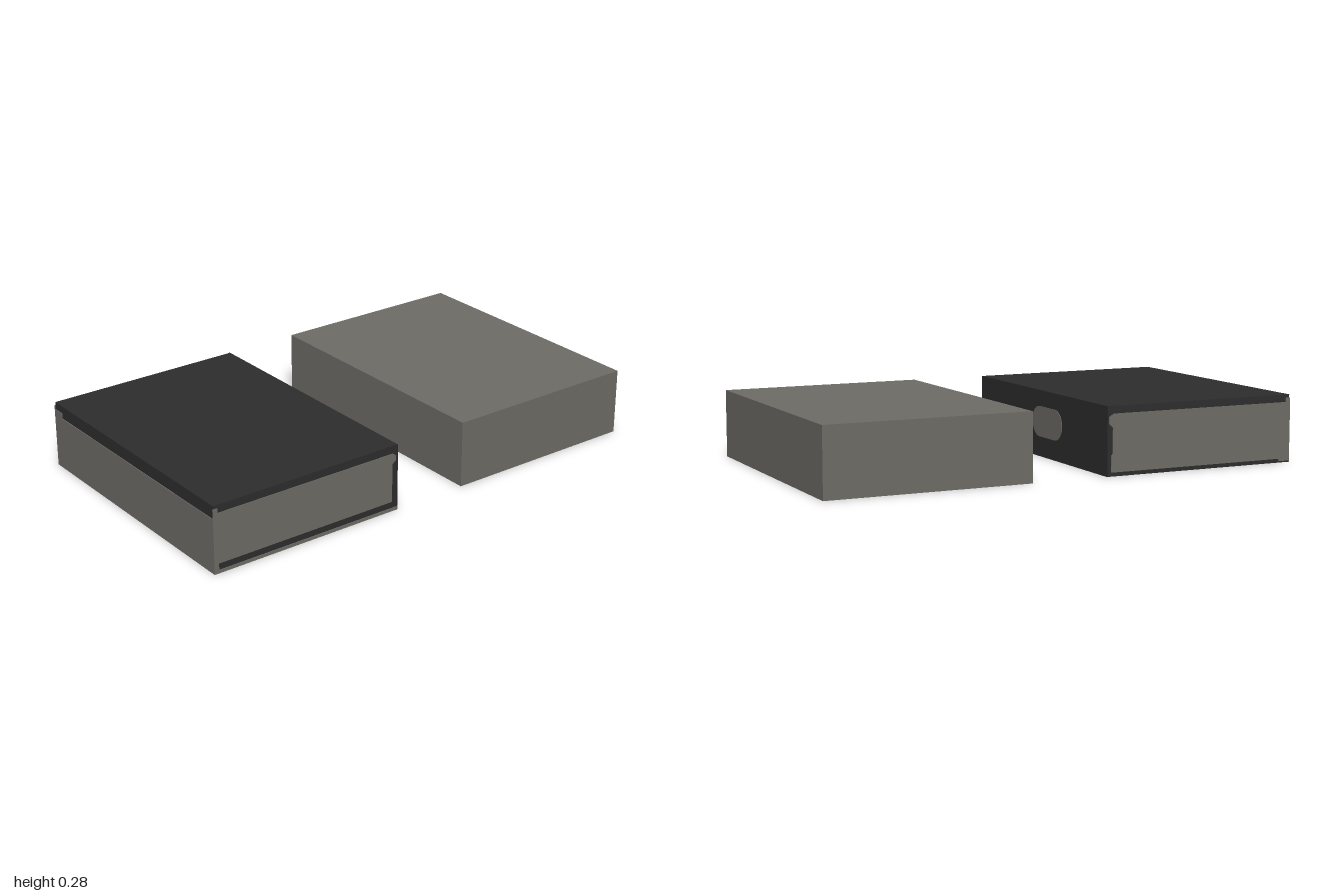
import * as THREE from 'three';

const H = 0.275, D = 0.565, X = 0.58, HALF = 0.42, T = 0.003;

export function createModel() {
  const model = new THREE.Group();
  const grey = new THREE.MeshStandardMaterial({ color: 0x6e6c66 });
  grey.name = 'stone grey';
  const dark = new THREE.MeshStandardMaterial({ color: 0x2d2d2d });
  dark.name = 'charcoal';

  const add = (name, geometry, material, parent = model) => {
    const mesh = new THREE.Mesh(geometry, material);
    mesh.name = name;
    parent.add(mesh);
    return mesh;
  };

  // Plain block on the left
  add('plainBlock', new THREE.BoxGeometry(2 * HALF, H, 2 * D), grey).position.set(X, H / 2, 0);

  // Book on the right: dark cover with thin page plates, spine towards +x
  const book = new THREE.Group();
  book.name = 'book';
  book.position.x = -X;
  model.add(book);
  add('cover', new THREE.BoxGeometry(2 * HALF - 2 * T, H, 2 * D - 2 * T), dark, book).position.y = H / 2;

  // Thin plate drawn in the plane of one side, facing outwards
  const plate = (name, shape, angle, distance, material = grey) => {
    const geometry = new THREE.ExtrudeGeometry(shape, { depth: T, bevelEnabled: false, curveSegments: 12 });
    geometry.translate(0, 0, distance - T);
    geometry.rotateY(angle);
    return add(name, geometry, material, book);
  };
  const polygon = (points) => new THREE.Shape(points.map(([x, y]) => new THREE.Vector2(x, y)));
  const rect = (x0, x1, y0, y1) => polygon([[x0, y0], [x1, y0], [x1, y1], [x0, y1]]);

  // Front page edge, with the cover line showing above the bottom strip
  plate('frontPages', polygon([
    [-0.42, 0], [0.42, 0], [0.42, 0.013], [-0.4, 0.013], [-0.4, 0.04], [0.393, 0.04],
    [0.393, 0.2], [0.41, 0.212], [0.41, 0.232], [0.395, 0.243], [-0.4, 0.243], [-0.4, 0.262], [-0.42, 0.262],
  ]), 0, D);

  // Back page edge, seen from behind with the spine at its left
  plate('backPages', polygon([
    [-0.402, 0.016], [0.37, 0.016], [0.37, 0.006], [0.42, 0.006], [0.42, 0.262], [0.4, 0.262],
    [0.4, 0.245], [-0.39, 0.245], [-0.412, 0.232], [-0.412, 0.205], [-0.395, 0.19], [-0.395, 0.09], [-0.402, 0.08],
  ]), Math.PI, D);

  // Opening edge opposite the spine
  plate('openingPages', polygon([
    [-D, 0], [D, 0], [D, 0.223], [-0.51, 0.223], [-0.51, 0.245], [-D, 0.245],
  ]), -Math.PI / 2, HALF);

  // Spine face and its rounded label
  plate('spine', rect(-D, D, 0, H), Math.PI / 2, HALF - 0.001, dark);
  const r = 0.063, s = 0.067, cz = 0.06, cy = 0.146;
  const capsule = new THREE.Shape();
  capsule.absarc(cz + s, cy, r, -Math.PI / 2, Math.PI / 2, false);
  capsule.absarc(cz - s, cy, r, Math.PI / 2, Math.PI * 1.5, false);
  plate('spineLabel', capsule, Math.PI / 2, HALF + 0.001);

  return model;
}
